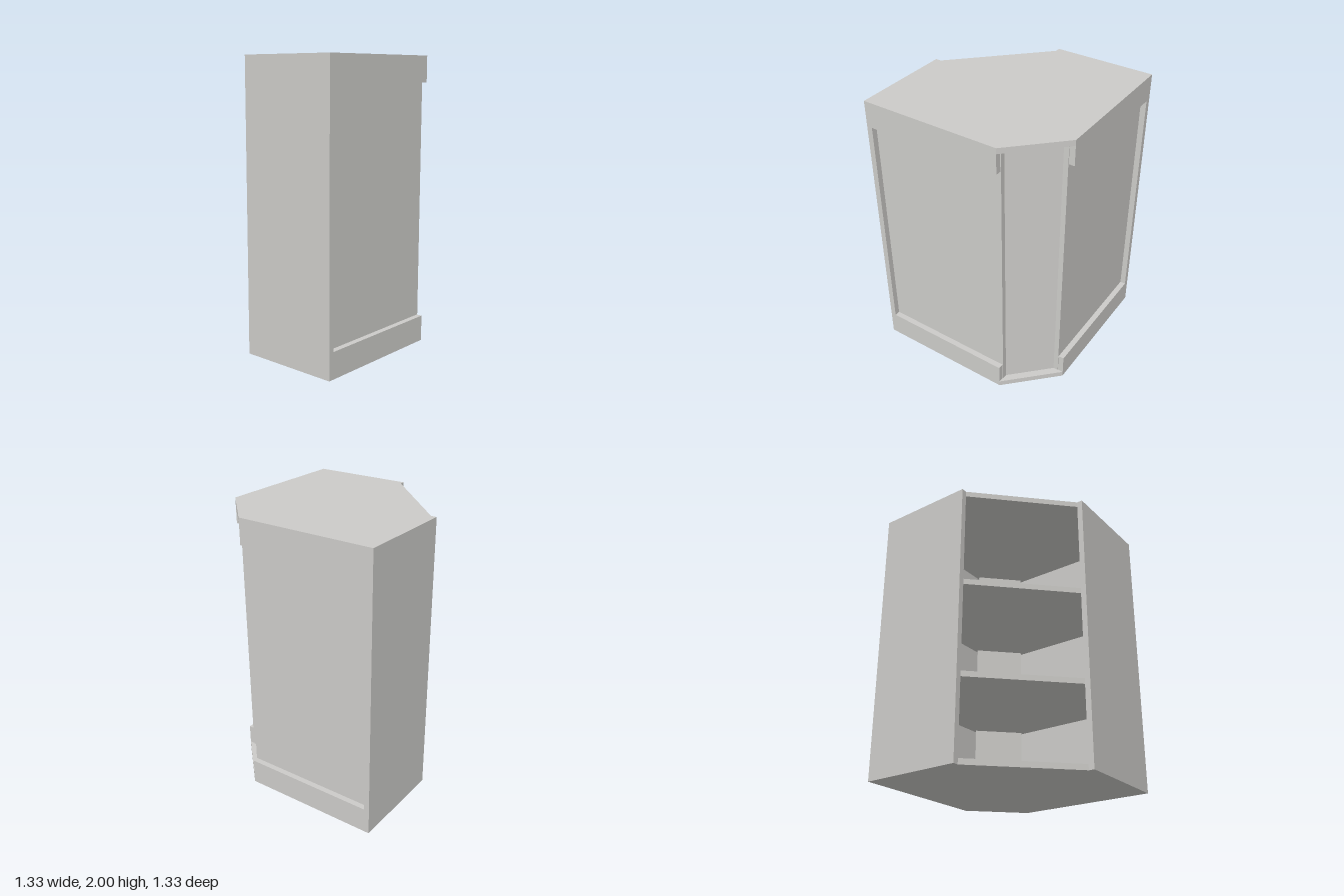
import * as THREE from 'three';

export function createModel() {
  const group = new THREE.Group();
  const paint = new THREE.MeshStandardMaterial({ color: 0xcccbc8 });
  paint.name = 'light grey board';

  const R = 0.665;   // half width and depth of the cabinet
  const I = 0.625;   // inner side of the outer boards
  const B = 0.59;    // inner side of the recessed panels
  const T = 0.04;    // board thickness
  const H = 2;

  // Board with a plan outline of [x, z] points between two heights
  function slab(name, points, y0, y1) {
    const shape = new THREE.Shape(points.map(([x, z]) => new THREE.Vector2(x, -z)));
    const geometry = new THREE.ExtrudeGeometry(shape, { depth: y1 - y0, bevelEnabled: false });
    geometry.rotateX(-Math.PI / 2).translate(0, y0, 0);
    const mesh = new THREE.Mesh(geometry, paint);
    mesh.name = name;
    group.add(mesh);
  }

  // Upright box given by its ranges
  function board(name, x0, x1, y0, y1, z0, z1) {
    const mesh = new THREE.Mesh(new THREE.BoxGeometry(x1 - x0, y1 - y0, z1 - z0), paint);
    mesh.position.set((x0 + x1) / 2, (y0 + y1) / 2, (z0 + z1) / 2);
    mesh.name = name;
    group.add(mesh);
  }

  // Full-height boards on either side of the diagonal opening
  board('sideBoard', -R, -I, 0, H, -R, 0.052);
  board('frontBoard', -0.055, R, 0, H, I, R);

  // Top and bottom boards with the chamfered rear corner
  const plate = [[-I, -R], [0.335, -R], [R, -0.335], [R, I], [-0.055, I], [-I, 0.052]];
  slab('bottomBoard', plate, 0, T);
  slab('topBoard', plate, H - T, H);

  // Shelves, set back from the opening
  const shelf = [[-I, -B], [0.34, -B], [B, -0.34], [B, I], [0.028, I], [-I, -0.03]];
  for (const y of [0.6, 1.28]) slab('shelf', shelf, y, y + T);

  // Recessed panels and the diagonal rear panel
  board('backPanel', -I, 0.34, T, H - T, -I, -B);
  board('rightPanel', B, I, T, H - T, -0.34, I);
  const d = 0.025;
  slab('cornerPanel', [[0.34, -B], [B, -0.34], [B - d, -0.34 + d], [0.34 - d, -B + d]], T, H - T);

  // Rails above and below the recessed panels
  for (const [y0, y1] of [[T, 0.18], [1.82, H - T]]) {
    board('backRail', -I, 0.335, y0, y1, -R, -I);
    board('rightRail', I, R, y0, y1, -0.335, I);
  }
  return group;
}
